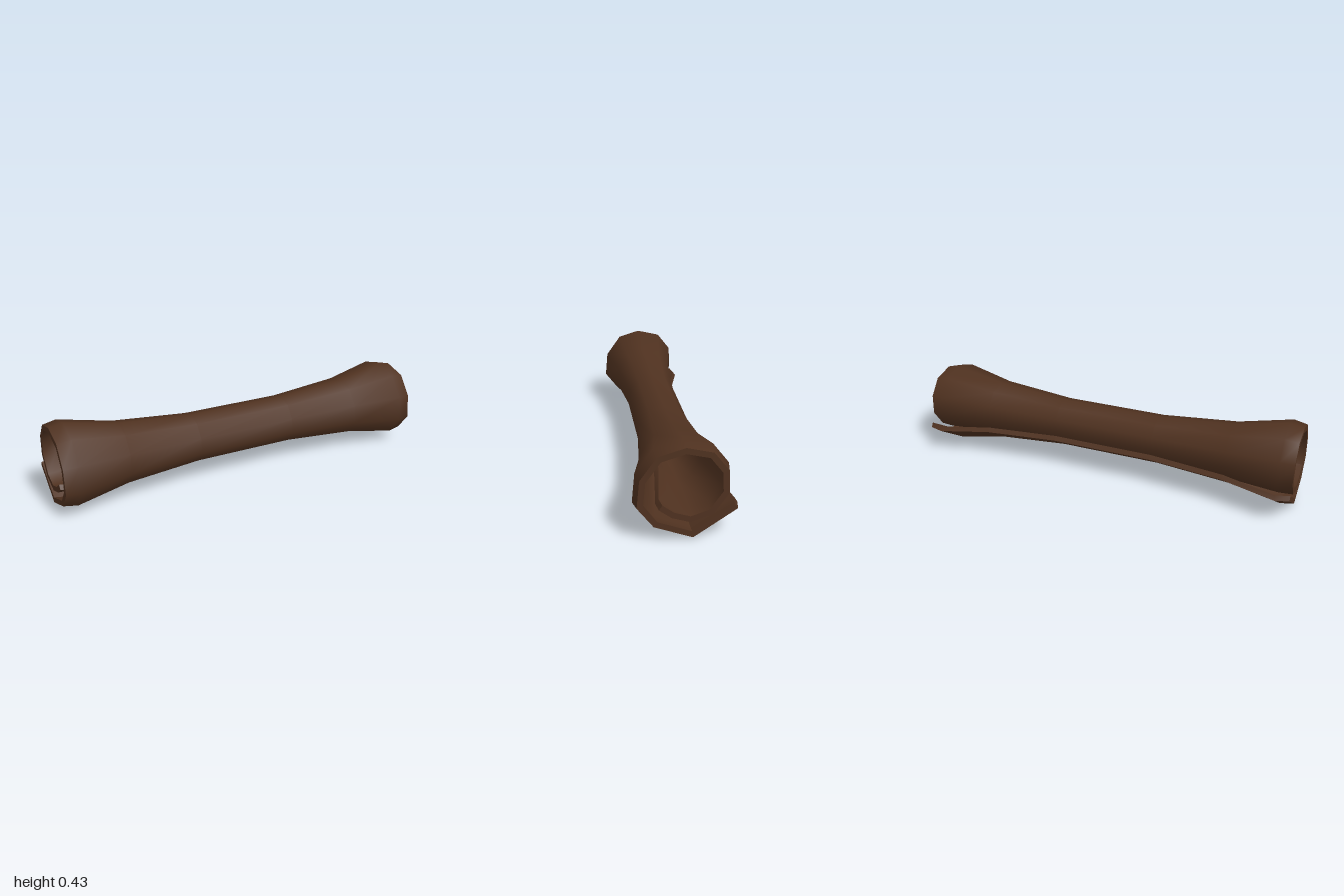
import * as THREE from 'three';
import { toCreasedNormals } from 'three/addons/utils/BufferGeometryUtils.js';

const THICKNESS = 0.026;
const WAIST = 0.6; // width of the waist relative to the flared ends
const AXIS_Y = 0.2075;

// Outer face of the rolled sheet as [z, y], from the loose flap to the curl
const wrap = [
  [-0.225, 0.132], [-0.025, 0], [0.152, 0.062], [0.227, 0.157], [0.215, 0.287],
  [0.137, 0.395], [0.01, 0.433], [-0.113, 0.405], [-0.182, 0.317], [-0.186, 0.21],
];
const curlFlared = [[-0.115, 0.115], [-0.015, 0.082], [0.07, 0.108], [0.128, 0.142]];
const curlWaist = [[-0.066, 0.121], [0, 0.095], [0.056, 0.111], [0.085, 0.173]];

const flared = [...wrap, ...curlFlared];
const waist = [
  ...wrap.map(([z, y]) => [z * WAIST, AXIS_Y + (y - AXIS_Y) * WAIST]),
  ...curlWaist,
];

// Stations along the roll: [x, flare]
const half = [[0.27, 0], [0.66, 0.365], [0.93, 1], [1, 0.85]];
const stations = [...half.map(([x, f]) => [-x, f]).reverse(), ...half];

// Shift an open path to its left by a distance, with mitred corners
function offsetPath(path, distance) {
  const pts = path.map(([z, y]) => new THREE.Vector2(z, y));
  const normal = (a, b) => new THREE.Vector2(a.y - b.y, b.x - a.x).normalize();
  return pts.map((p, i) => {
    const before = i > 0 ? normal(pts[i - 1], p) : normal(p, pts[i + 1]);
    const after = i < pts.length - 1 ? normal(p, pts[i + 1]) : before;
    const mitre = before.clone().add(after).normalize();
    const d = distance / mitre.dot(after);
    return [p.x + mitre.x * d, p.y + mitre.y * d];
  });
}

// Closed outline of the sheet at one station: outer face out, inner face back
function section(flare) {
  const outer = waist.map(([z, y], i) => [
    THREE.MathUtils.lerp(z, flared[i][0], flare),
    THREE.MathUtils.lerp(y, flared[i][1], flare),
  ]);
  return [...outer, ...offsetPath(outer, THICKNESS).reverse()];
}

function rolledSheetGeometry() {
  const positions = [];
  const index = [];
  const n = flared.length * 2;
  for (const [x, flare] of stations) {
    for (const [z, y] of section(flare)) positions.push(x, y, z);
  }
  const quad = (a, b, c, d) => index.push(a, b, c, a, c, d);

  // Faces and long edges of the sheet
  for (let s = 0; s < stations.length - 1; s++) {
    for (let j = 0; j < n; j++) {
      const k = (j + 1) % n;
      quad(s * n + j, (s + 1) * n + j, (s + 1) * n + k, s * n + k);
    }
  }
  // Spiral end edges
  const last = (stations.length - 1) * n;
  for (let j = 0; j < n / 2 - 1; j++) {
    const inner = n - 1 - j;
    quad(j, j + 1, inner - 1, inner);
    quad(last + inner, last + inner - 1, last + j + 1, last + j);
  }

  const geometry = new THREE.BufferGeometry();
  geometry.setAttribute('position', new THREE.Float32BufferAttribute(positions, 3));
  geometry.setIndex(index);
  return toCreasedNormals(geometry, 0.85);
}

export function createModel() {
  const group = new THREE.Group();
  group.name = 'rolledScroll';
  const sheet = new THREE.Mesh(
    rolledSheetGeometry(),
    new THREE.MeshStandardMaterial({ color: 0x503220 })
  );
  sheet.name = 'rolledSheet';
  group.add(sheet);
  return group;
}
